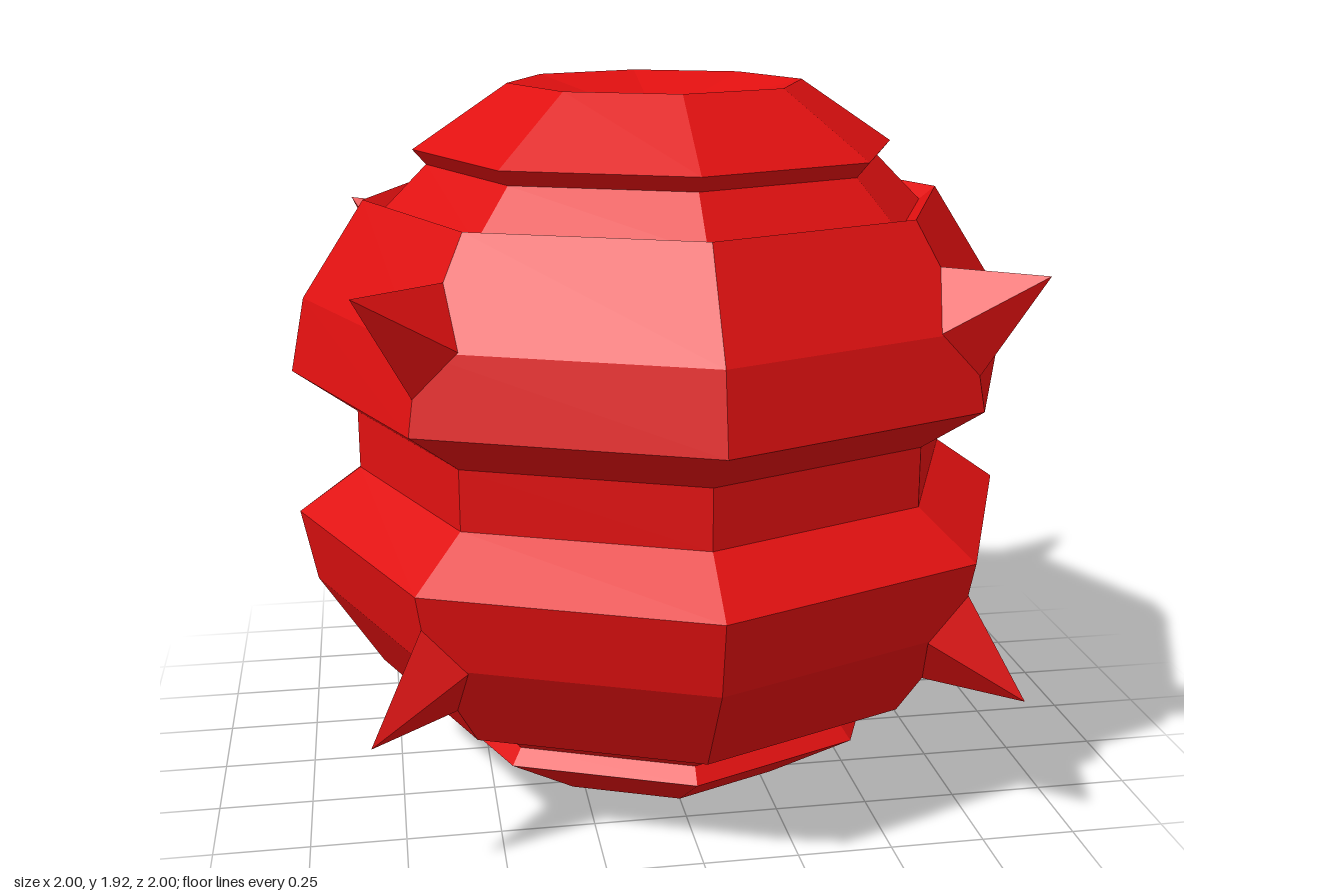
import * as THREE from 'three';
import { ConvexGeometry } from 'three/addons/geometries/ConvexGeometry.js';

const MID = 0.96; // height of the equator

export function createModel() {
  const model = new THREE.Group();
  model.name = 'spikedBall';
  const red = new THREE.MeshStandardMaterial({ color: 0xe01010 });
  red.name = 'red';

  const add = (name, geometry) => {
    const mesh = new THREE.Mesh(geometry, red);
    mesh.name = name;
    model.add(mesh);
  };

  // Eight-sided faceted ring from [radius, height above equator], listed bottom to top
  const ring = (name, profile) => {
    const points = profile.map(([r, y]) => new THREE.Vector2(r, MID + y));
    const geometry = new THREE.LatheGeometry(points, 8).toNonIndexed();
    geometry.computeVertexNormals();
    add(name, geometry);
  };
  const flip = (profile) => profile.map(([r, y]) => [r, -y]).reverse();

  // Shell half: widest edge, shoulder, rim and the groove inside the rim
  const shell = [[0.83, 0.08], [1, 0.2], [0.96, 0.4], [0.79, 0.66], [0.745, 0.625]];
  // Pole cap: neck, overhanging lip, slope and dished centre
  const cap = [[0.745, 0.625], [0.62, 0.75], [0.655, 0.79], [0.4, 0.96], [0, 0.86]];

  ring('waist', [[0.83, -0.08], [0.83, 0.08]]);
  ring('upperShell', shell);
  ring('upperCap', cap);
  ring('lowerShell', flip(shell));
  ring('lowerCap', flip(cap));

  // Four-sided spikes on the diagonal edges: base corners, then the tip
  const spike = [
    [0.61, 0.55, 0.61], [0.585, 0.405, 0.717], [0.695, 0.29, 0.695],
    [0.717, 0.405, 0.585], [0.827, 0.553, 0.787],
  ];
  for (const sy of [1, -1]) for (const sx of [1, -1]) for (const sz of [1, -1]) {
    const name = `${sy > 0 ? 'upper' : 'lower'}${sz > 0 ? 'Front' : 'Back'}${sx > 0 ? 'Left' : 'Right'}Spike`;
    add(name, new ConvexGeometry(
      spike.map(([x, y, z]) => new THREE.Vector3(sx * x, MID + sy * y, sz * z))));
  }
  return model;
}
